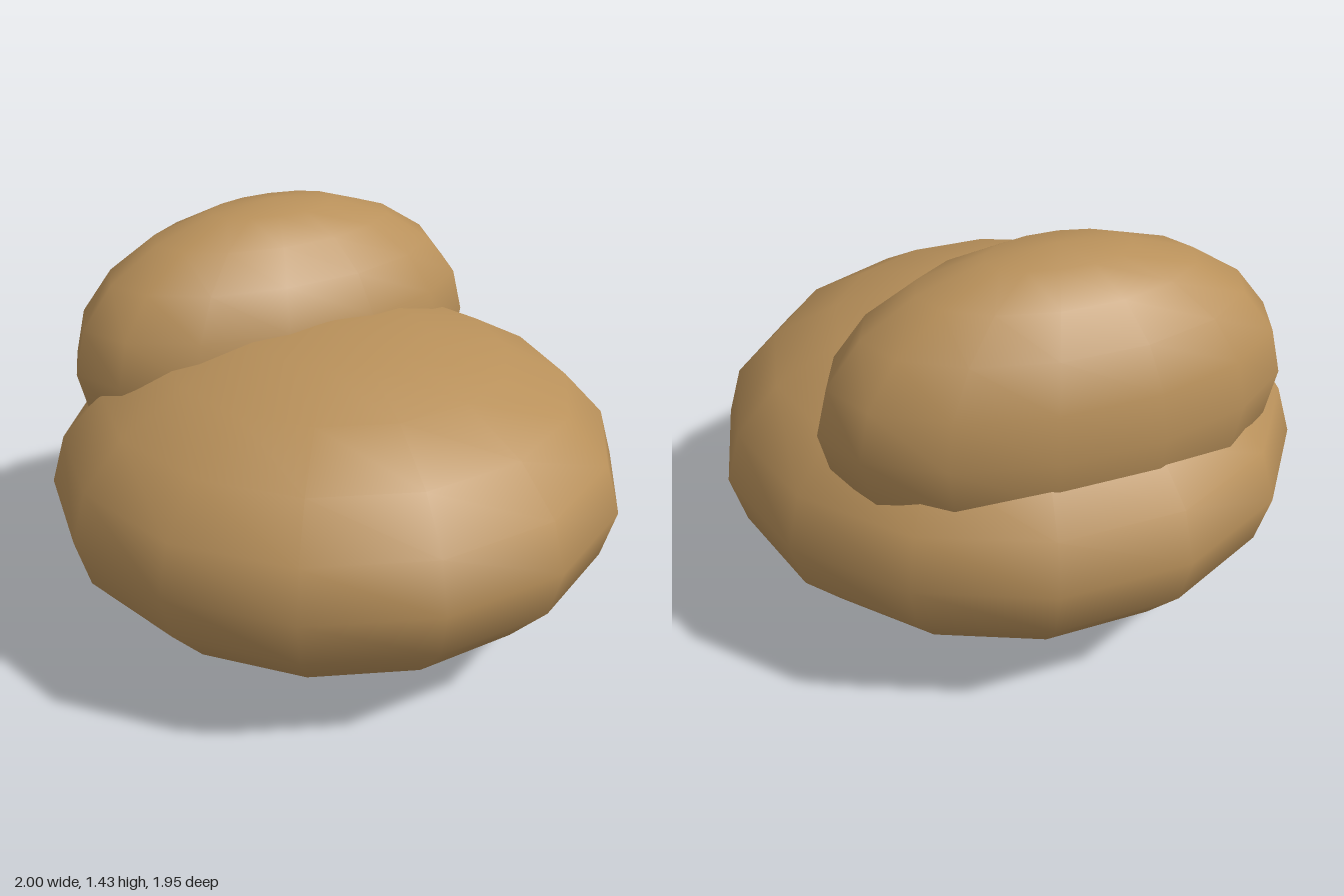
import * as THREE from 'three';

export function createModel() {
  const group = new THREE.Group();
  group.name = 'beanbagChair';

  const fabric = new THREE.MeshStandardMaterial({ color: 0xb8905a });
  fabric.name = 'tan fabric';

  // A squashed low-segment sphere, smooth shaded
  function cushion(name, radii, position) {
    const geometry = new THREE.SphereGeometry(1, 14, 10);
    geometry.scale(...radii);
    const mesh = new THREE.Mesh(geometry, fabric);
    mesh.name = name;
    mesh.position.set(...position);
    group.add(mesh);
  }

  // Wide seat, and a backrest sunk into its rear
  cushion('seat', [1, 0.55, 1], [0, 0.55, 0]);
  cushion('backrest', [0.783, 0.5, 0.43], [0, 0.93, -0.427]);

  return group;
}
